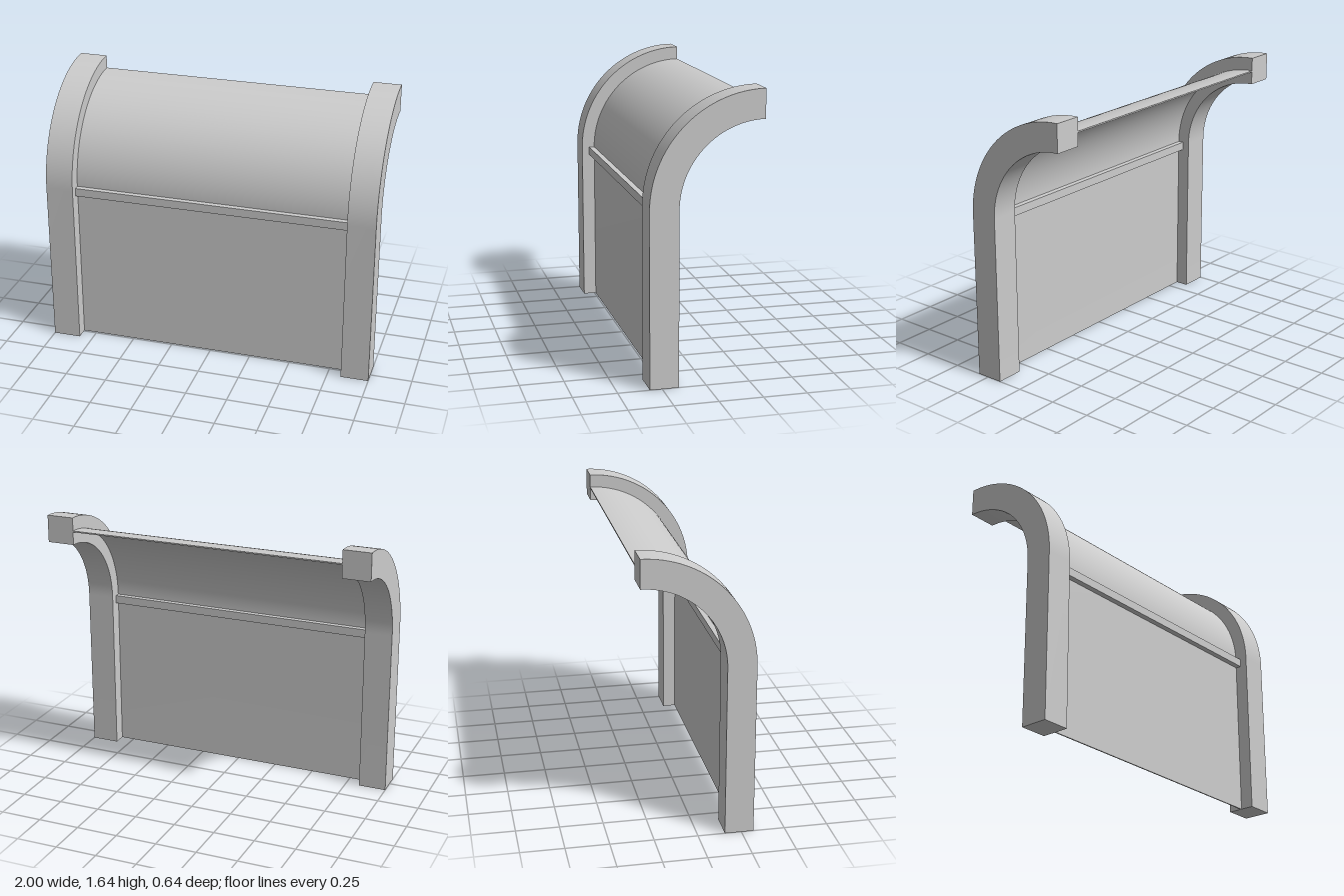
import * as THREE from 'three';
import { toCreasedNormals } from 'three/addons/utils/BufferGeometryUtils.js';

const BEND_Z = -0.32, BEND_Y = 1.0; // centre of the overhanging bend

// Upright section that bends back a quarter turn, extruded across x
function bentSection(rInner, rOuter, width, segments) {
  const s = new THREE.Shape();
  s.moveTo(BEND_Z + rInner, 0);
  s.lineTo(BEND_Z + rOuter, 0);
  s.lineTo(BEND_Z + rOuter, BEND_Y);
  s.absarc(BEND_Z, BEND_Y, rOuter, 0, Math.PI / 2, false);
  s.lineTo(BEND_Z, BEND_Y + rInner);
  s.absarc(BEND_Z, BEND_Y, rInner, Math.PI / 2, 0, true);
  s.closePath();
  const g = new THREE.ExtrudeGeometry(s, { depth: width, bevelEnabled: false, curveSegments: segments });
  g.translate(0, 0, -width / 2);
  g.rotateY(-Math.PI / 2);
  return toCreasedNormals(g, Math.PI / 6);
}

export function createModel() {
  const group = new THREE.Group();
  const grey = new THREE.MeshStandardMaterial({ color: 0xcccccc });
  grey.name = 'light grey';

  const add = (name, geometry, x = 0, y = 0, z = 0) => {
    const mesh = new THREE.Mesh(geometry, grey);
    mesh.name = name;
    mesh.position.set(x, y, z);
    group.add(mesh);
  };

  // Curved posts at both ends
  const post = bentSection(0.475, 0.64, 0.167, 24);
  add('leftPost', post, 0.9165);
  add('rightPost', post, -0.9165);

  // Thin curved sheet between the posts
  add('panel', bentSection(0.553, 0.561, 1.666, 32));

  // Rail where the sheet starts to bend
  add('rail', new THREE.BoxGeometry(1.666, 0.05, 0.075), 0, 0.975, 0.2375);

  return group;
}
